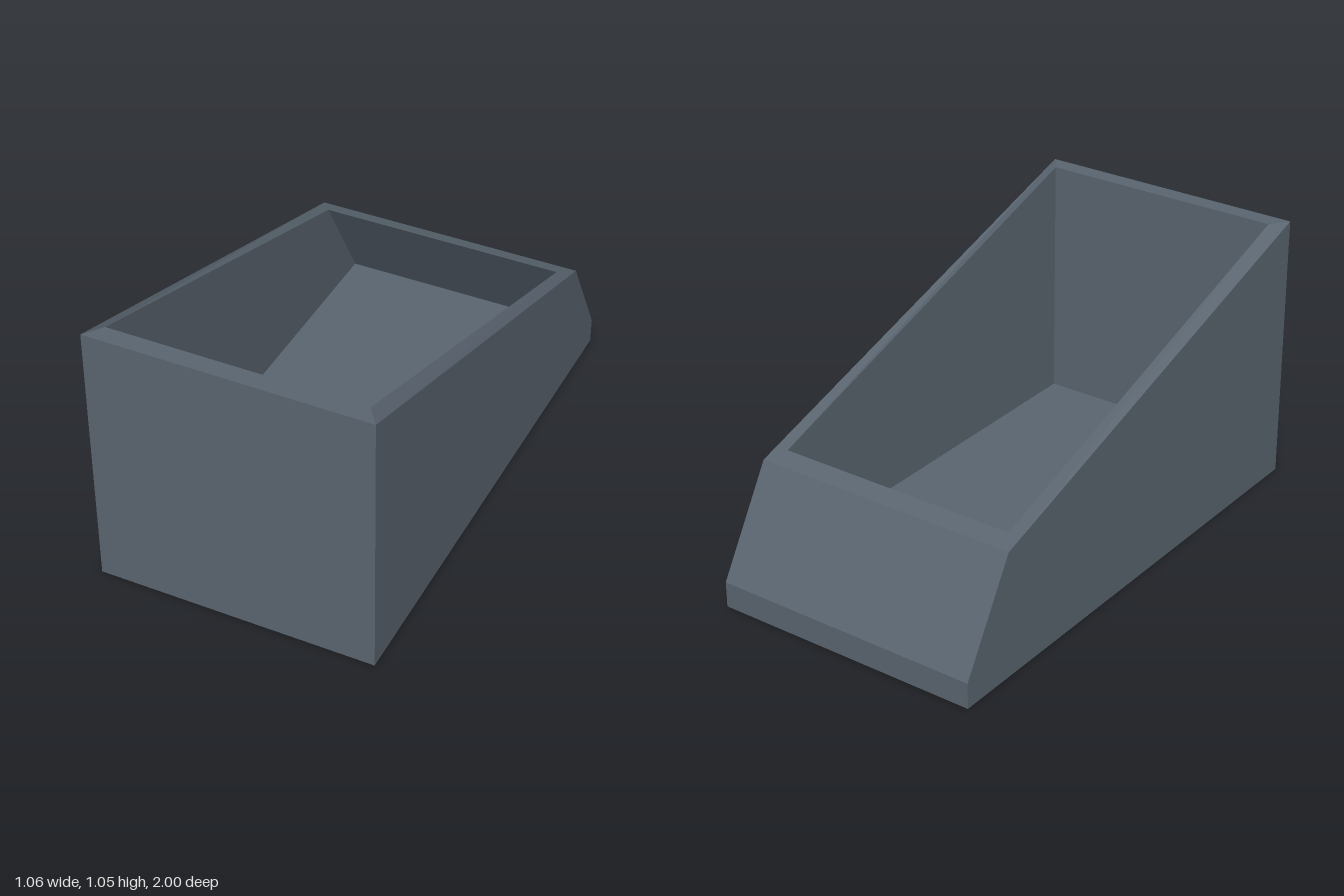
import * as THREE from 'three';

// Polygons (convex, counter-clockwise from their visible side) to a flat-faced geometry
function polygons(list, flip = false) {
  const pos = [];
  for (const p of list) {
    for (let i = 1; i < p.length - 1; i++) {
      const tri = flip ? [p[0], p[i + 1], p[i]] : [p[0], p[i], p[i + 1]];
      tri.forEach((v) => pos.push(...v));
    }
  }
  const g = new THREE.BufferGeometry();
  g.setAttribute('position', new THREE.Float32BufferAttribute(pos, 3));
  g.computeVertexNormals();
  return g;
}

// Open-topped trough: a side profile of [z, y] points swept across the width, with both sides
function trough(profile, w, flip) {
  const at = (x) => profile.map(([z, y]) => [x, y, z]);
  const l = at(w), r = at(-w);
  const faces = [l, r.slice().reverse()];
  for (let i = 0; i < profile.length - 1; i++) faces.push([r[i], r[i + 1], l[i + 1], l[i]]);
  return polygons(faces, flip);
}

// Corners of the open top of a trough
function mouth(profile, w) {
  const [z0, y0] = profile[0], [z1, y1] = profile[profile.length - 1];
  return [[-w, y0, z0], [w, y0, z0], [w, y1, z1], [-w, y1, z1]];
}

export function createModel() {
  const group = new THREE.Group();
  group.name = 'slopedBin';
  const slate = new THREE.MeshStandardMaterial({ color: 0x5a6570 });
  slate.name = 'slate grey';

  const outer = [[1, 1.05], [1, 0], [-1, 0], [-1, 0.1], [-0.77, 0.49]];
  const inner = [[0.93, 1.05], [0.93, 0.1], [-0.94, 0.1], [-0.7, 0.513]];
  const outerW = 0.532, innerW = 0.48;

  const add = (name, geometry) => {
    const mesh = new THREE.Mesh(geometry, slate);
    mesh.name = name;
    group.add(mesh);
  };

  add('outerShell', trough(outer, outerW, false));
  add('innerCavity', trough(inner, innerW, true));

  // Rim joining the two mouths
  const o = mouth(outer, outerW), n = mouth(inner, innerW);
  add('rim', polygons(o.map((p, i) => [p, o[(i + 1) % 4], n[(i + 1) % 4], n[i]])));

  return group;
}
